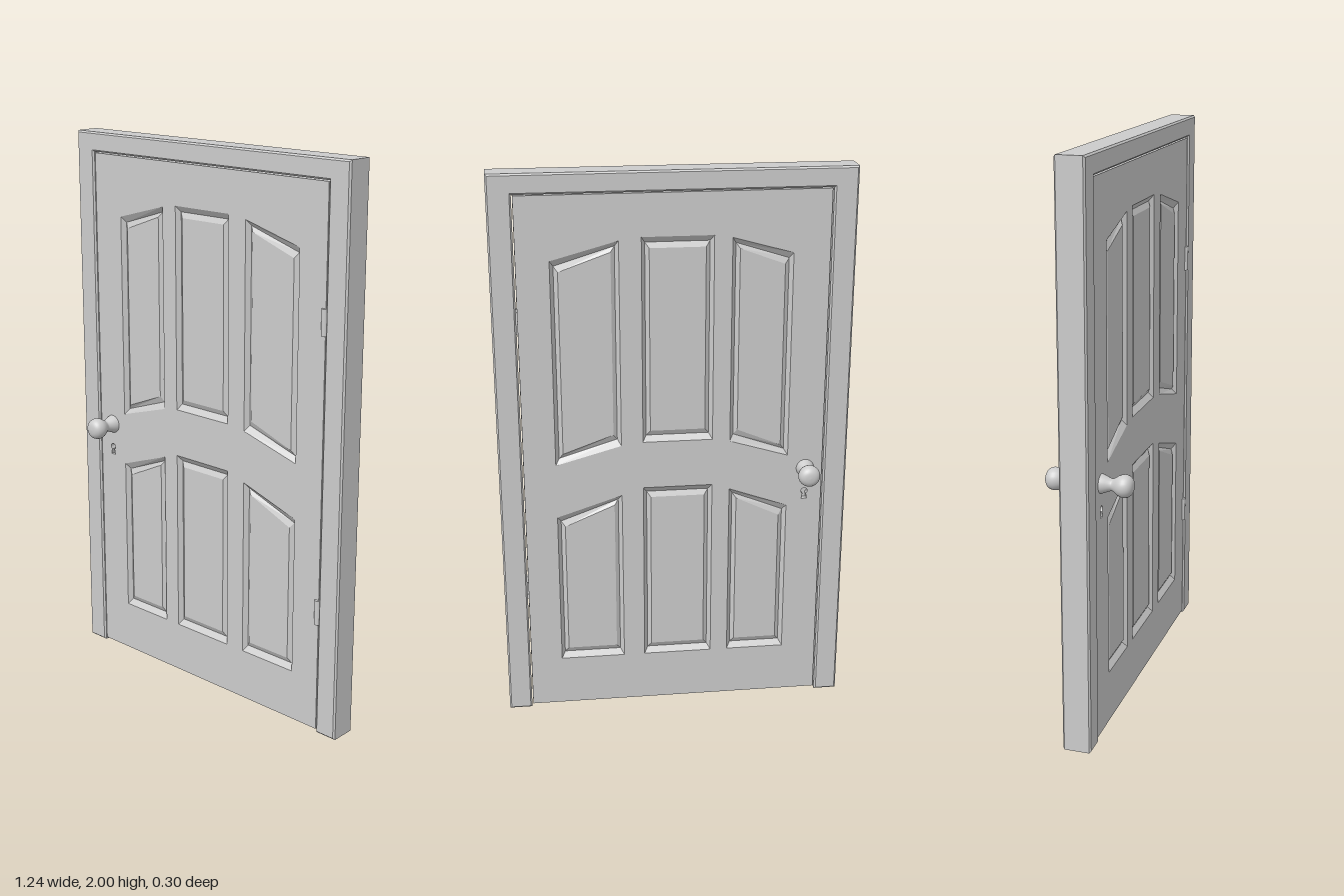
import * as THREE from 'three';

const grey = new THREE.MeshStandardMaterial({ color: 0xcccccc });
const flat = new THREE.MeshStandardMaterial({ color: 0xcccccc, flatShading: true });

const FRONT = 0.04, BACK = -0.045;                    // door faces
const DOOR = { x: 0.533, y0: 0.01, y1: 1.926 };
const KNOB = { x: -0.472, y: 0.918 };

// Panels: left x, right x, bottom y at left/right, top y at left/right
const panels = [
  [-0.407, -0.197, 0.97, 1.034, 1.71, 1.768],
  [-0.135, 0.112, 1.044, 1.044, 1.778, 1.778],
  [0.188, 0.42, 1.034, 0.97, 1.768, 1.705],
  [-0.407, -0.197, 0.196, 0.196, 0.775, 0.85],
  [-0.135, 0.112, 0.196, 0.196, 0.87, 0.87],
  [0.188, 0.42, 0.196, 0.196, 0.845, 0.77],
];

function add(parent, name, geometry, material = grey) {
  const mesh = new THREE.Mesh(geometry, material);
  mesh.name = name;
  parent.add(mesh);
  return mesh;
}

// Counter-clockwise corner loop of a panel, inset by dx and dy
function panelLoop([xl, xr, bl, br, tl, tr], dx, dy) {
  return [[xl + dx, bl + dy], [xr - dx, br + dy], [xr - dx, tr - dy], [xl + dx, tl - dy]];
}

// Round hole with a slot flaring downwards
function keyholeLoop() {
  const pts = [[-0.01, -0.03], [0.01, -0.03]];
  for (let i = 0; i <= 12; i++) {
    const a = -Math.PI / 3 + (i / 12) * Math.PI * 5 / 3;
    pts.push([0.012 * Math.cos(a), 0.012 * Math.sin(a)]);
  }
  return pts.map(([x, y]) => [x + KNOB.x, y + 0.828]);
}

// Mirror a loop in x for the rear face, keeping its direction
const orient = (loop, dir) => (dir > 0 ? loop : loop.map(([x, y]) => [-x, y]).reverse());
const toVectors = loop => loop.map(p => new THREE.Vector2(p[0], p[1]));

// Surface running inwards through successive loops, closed by a flat floor
function sunkenSurface(loops, depths) {
  const pos = [], idx = [], n = loops[0].length;
  loops.forEach((loop, k) => loop.forEach(([x, y]) => pos.push(x, y, depths[k])));
  for (let k = 0; k < loops.length - 1; k++) {
    for (let i = 0; i < n; i++) {
      const a = k * n + i, b = k * n + (i + 1) % n;
      idx.push(a, b, b + n, a, b + n, a + n);
    }
  }
  const last = (loops.length - 1) * n;
  THREE.ShapeUtils.triangulateShape(toVectors(loops[loops.length - 1]), [])
    .forEach(t => idx.push(...t.map(i => i + last)));
  const g = new THREE.BufferGeometry();
  g.setAttribute('position', new THREE.Float32BufferAttribute(pos, 3));
  g.setIndex(idx);
  const out = g.toNonIndexed();
  out.computeVertexNormals();
  return out;
}

// One face of the door with grooved panels and a keyhole
function doorFace(dir) {
  const face = new THREE.Group();
  face.name = dir > 0 ? 'doorFront' : 'doorBack';
  const { x, y0, y1 } = DOOR;
  const shape = new THREE.Shape(toVectors([[-x, y0], [x, y0], [x, y1], [-x, y1]]));
  const cutHole = loop => shape.holes.push(new THREE.Path(toVectors(loop)));

  for (const p of panels) {
    const loops = [[0, 0], [0.013, 0.021], [0.027, 0.04]]
      .map(([dx, dy]) => orient(panelLoop(p, dx, dy), dir));
    cutHole(loops[0]);
    add(face, 'raisedPanel', sunkenSurface(loops, [0, -0.016, -0.006]), flat);
  }
  const key = orient(keyholeLoop(), dir);
  cutHole(key);
  add(face, 'keyhole', sunkenSurface([key, key], [0, -0.02]), flat);
  add(face, 'doorSurface', new THREE.ShapeGeometry(shape));

  face.position.z = dir > 0 ? FRONT : BACK;
  if (dir < 0) face.rotation.y = Math.PI;
  return face;
}

// Narrow edges joining the two door faces
function doorEdges(parent) {
  const { x, y0, y1 } = DOOR, t = FRONT - BACK, z = (FRONT + BACK) / 2;
  for (const s of [-1, 1]) {
    const side = add(parent, 'doorSideEdge', new THREE.PlaneGeometry(t, y1 - y0));
    side.position.set(s * x, (y0 + y1) / 2, z);
    side.rotation.y = s * Math.PI / 2;
    const end = add(parent, 'doorEndEdge', new THREE.PlaneGeometry(2 * x, t));
    end.position.set(0, s > 0 ? y1 : y0, z);
    end.rotation.x = -s * Math.PI / 2;
  }
}

export function createModel() {
  const model = new THREE.Group();
  model.name = 'framedDoor';

  // Frame: two jambs and a head in one bevelled piece
  const outline = new THREE.Shape(toVectors([
    [-0.62, 0], [-0.537, 0], [-0.537, 1.93], [0.537, 1.93],
    [0.537, 0], [0.62, 0], [0.62, 2], [-0.62, 2],
  ]));
  const bevel = 0.006;
  const frame = add(model, 'doorFrame', new THREE.ExtrudeGeometry(outline, {
    depth: 0.1 - 2 * bevel, bevelEnabled: true, bevelSize: bevel,
    bevelThickness: bevel, bevelOffset: -bevel, bevelSegments: 1,
  }));
  frame.position.z = -0.054 + bevel;

  // Door leaf
  const door = new THREE.Group();
  door.name = 'door';
  door.add(doorFace(1), doorFace(-1));
  doorEdges(door);
  model.add(door);

  // Hinge barrels on the front
  for (const y of [0.458, 1.476]) {
    const hinge = add(model, 'hinge', new THREE.CylinderGeometry(0.011, 0.011, 0.09, 16));
    hinge.position.set(0.528, y, 0.039);
  }

  // Knobs on both sides
  const profile = new THREE.SplineCurve(toVectors([
    [0.035, 0.035], [0.03, 0.052], [0.021, 0.074], [0.022, 0.084], [0.034, 0.102],
    [0.039, 0.12], [0.034, 0.138], [0.02, 0.149], [0, 0.152],
  ])).getPoints(24);
  profile[24].x = 0;
  for (const s of [-1, 1]) {
    const knob = add(model, s > 0 ? 'frontKnob' : 'backKnob', new THREE.LatheGeometry(profile, 24));
    knob.position.set(KNOB.x, KNOB.y, 0);
    knob.rotation.x = s * Math.PI / 2;
  }
  return model;
}
